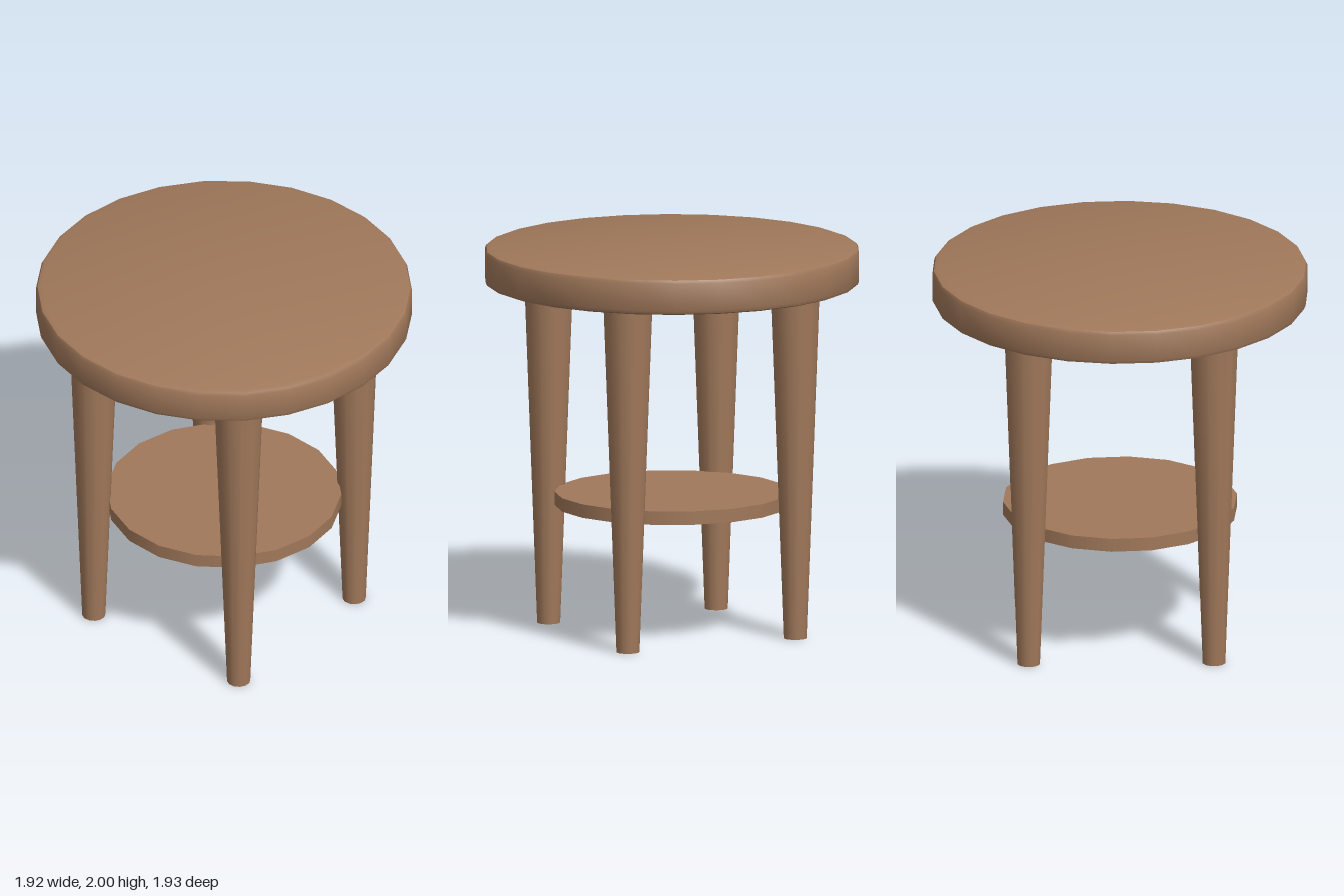
import * as THREE from 'three';
import { toCreasedNormals } from 'three/addons/utils/BufferGeometryUtils.js';

export function createModel() {
  const group = new THREE.Group();
  const wood = new THREE.MeshStandardMaterial({ color: 0xa0785a });

  const add = (name, geometry, x = 0, y = 0, z = 0) => {
    const mesh = new THREE.Mesh(geometry, wood);
    mesh.name = name;
    mesh.position.set(x, y, z);
    group.add(mesh);
  };

  // Round top with softened upper and lower rims
  const R = 0.965, low = 1.81, high = 2;
  const profile = [
    [0, low], [R - 0.03, low], [R - 0.008, low + 0.008], [R, low + 0.025],
    [R, high - 0.025], [R - 0.008, high - 0.008], [R - 0.03, high], [0, high],
  ].map(([r, y]) => new THREE.Vector2(r, y));
  add('tableTop', toCreasedNormals(new THREE.LatheGeometry(profile, 26), 0.6));

  // Lower shelf held between the legs
  add('shelf', new THREE.CylinderGeometry(0.603, 0.603, 0.07, 18), 0, 0.69, 0);

  // Four tapered legs, one on each axis
  const legHeight = 1.82;
  const legGeometry = new THREE.CylinderGeometry(0.128, 0.06, legHeight, 12);
  ['frontLeg', 'leftLeg', 'backLeg', 'rightLeg'].forEach((name, i) => {
    const a = (i * Math.PI) / 2;
    add(name, legGeometry, 0.672 * Math.sin(a), legHeight / 2, 0.672 * Math.cos(a));
  });

  return group;
}
